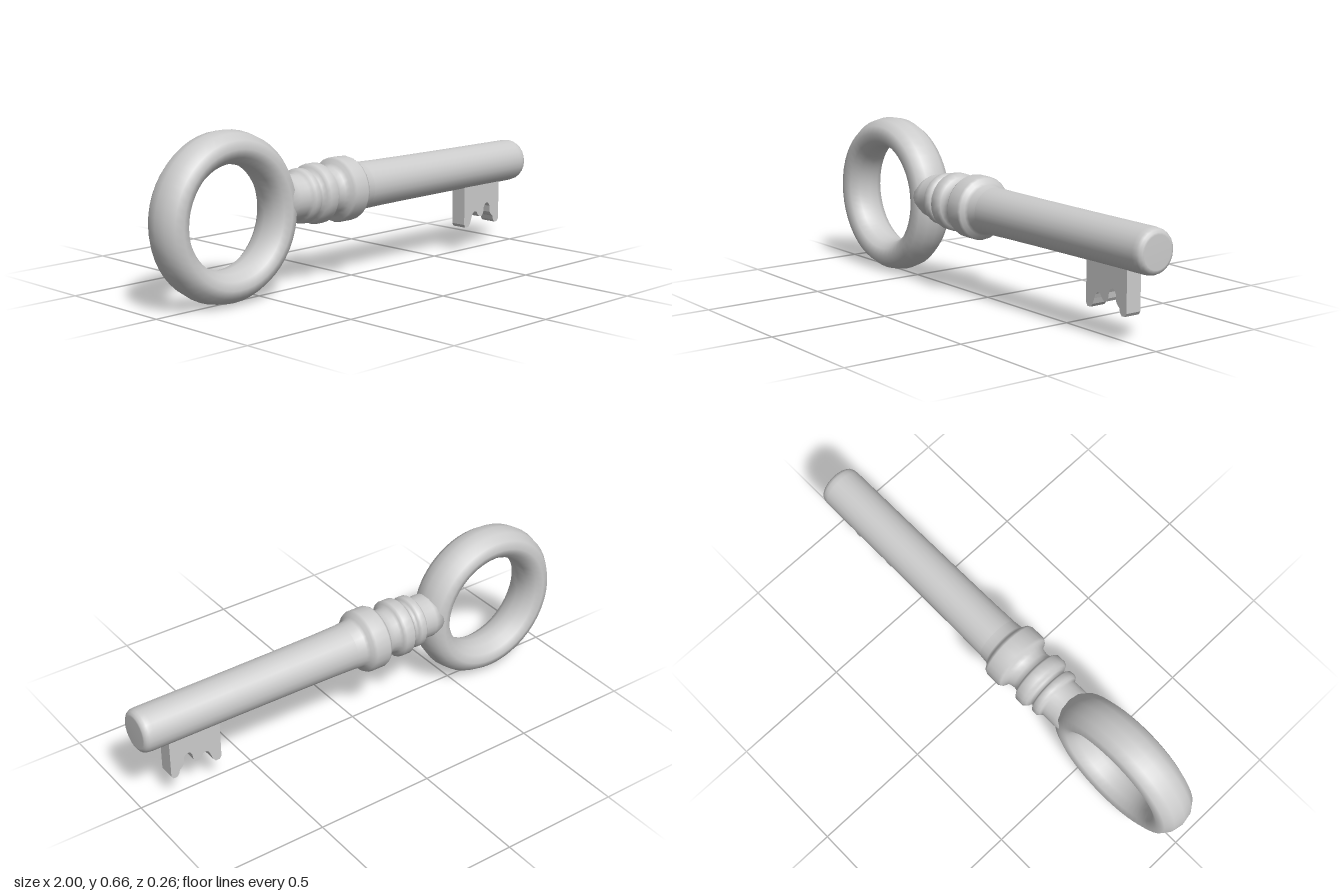
import * as THREE from 'three';

const material = new THREE.MeshStandardMaterial({ color: 0xcccccc });
const AXIS_Y = 0.365;

function addPart(group, name, geometry) {
  const mesh = new THREE.Mesh(geometry, material);
  mesh.name = name;
  group.add(mesh);
  return mesh;
}

// Turned part: profile of [position along x, radius]
function turned(profile) {
  const points = profile.map(([x, r]) => new THREE.Vector2(r, x));
  return new THREE.LatheGeometry(points, 24).rotateZ(-Math.PI / 2).translate(0, AXIS_Y, 0);
}

export function createModel() {
  const key = new THREE.Group();
  key.name = 'key';

  // Ring handle with an oval section, deeper than it is wide
  const ring = new THREE.TorusGeometry(0.266, 0.065, 12, 48);
  ring.scale(1, 1, 0.09 / 0.065);
  addPart(key, 'ringHandle', ring).position.set(-0.669, 0.333, 0);

  // Neck with two beads and the large collar
  addPart(key, 'collar', turned([
    [-0.41, 0], [-0.41, 0.087], [-0.36, 0.092], [-0.31, 0.09],
    [-0.302, 0.1], [-0.293, 0.109], [-0.27, 0.109], [-0.262, 0.1],
    [-0.257, 0.091], [-0.243, 0.091], [-0.237, 0.108], [-0.225, 0.12],
    [-0.187, 0.12], [-0.177, 0.108], [-0.17, 0.096], [-0.15, 0.092],
    [-0.125, 0.097], [-0.11, 0.108], [-0.106, 0.124], [-0.095, 0.13],
    [-0.032, 0.13], [-0.02, 0.124], [-0.012, 0.108], [0, 0.1], [0.04, 0.096],
  ]));

  // Long shank, slightly tapered, with a rounded tip
  addPart(key, 'shank', turned([
    [0.04, 0.096], [0.15, 0.0935], [0.35, 0.0915], [0.6, 0.09], [0.96, 0.089],
    [0.98, 0.087], [0.991, 0.082], [0.998, 0.073], [1, 0.065], [1, 0],
  ]));

  // Notched bit under the shank
  const outline = [
    [0.652, 0.32], [0.652, 0.12], [0.66, 0.107], [0.678, 0.107], [0.69, 0.12],
    [0.698, 0.143], [0.706, 0.162], [0.716, 0.17], [0.732, 0.168], [0.74, 0.155],
    [0.75, 0.145], [0.768, 0.145], [0.776, 0.158], [0.78, 0.182], [0.788, 0.196],
    [0.8, 0.2], [0.811, 0.195], [0.818, 0.182], [0.82, 0.155], [0.828, 0.143],
    [0.838, 0.135], [0.843, 0.117], [0.852, 0.107], [0.868, 0.107], [0.877, 0.12],
    [0.877, 0.32],
  ];
  const bitShape = new THREE.Shape(outline.map(([x, y]) => new THREE.Vector2(x, y)));
  const bit = new THREE.ExtrudeGeometry(bitShape, { depth: 0.068, bevelEnabled: false });
  addPart(key, 'bit', bit.translate(0, 0, -0.034));

  return key;
}
